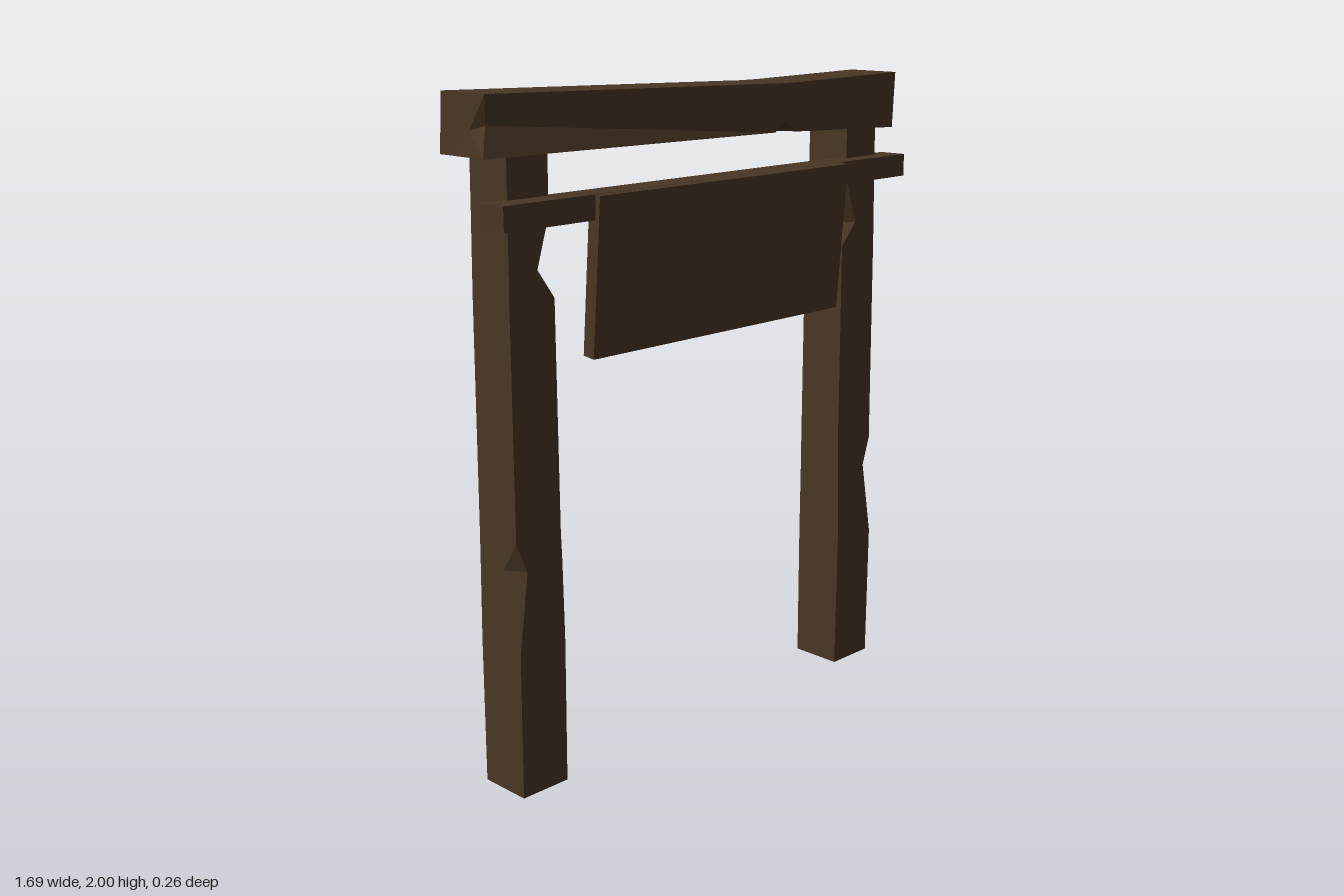
import * as THREE from 'three';

// Skins a list of rings (equal point counts) and caps both ends, flat shaded.
function loft(rings) {
  const tris = [];
  const v = (p) => new THREE.Vector3(...p);
  const loops = rings.map((r) => r.map(v));
  const n = loops[0].length;
  const add = (a, b, c) => {
    const area = b.clone().sub(a).cross(c.clone().sub(a)).length();
    if (area > 1e-7) tris.push([a, b, c]);
  };
  for (let i = 0; i < loops.length - 1; i++) {
    for (let j = 0; j < n; j++) {
      const k = (j + 1) % n;
      const [a, b, c, d] = [loops[i][j], loops[i][k], loops[i + 1][k], loops[i + 1][j]];
      add(a, b, c);
      add(a, c, d);
    }
  }
  const cap = (loop, flip) => {
    const mid = loop.reduce((s, p) => s.add(p), new THREE.Vector3()).divideScalar(n);
    loop.forEach((p, j) => {
      const q = loop[(j + 1) % n];
      if (flip) add(mid, q, p);
      else add(mid, p, q);
    });
  };
  cap(loops[0], true);
  cap(loops[loops.length - 1], false);
  // Turn the whole skin outward if its enclosed volume is negative
  const volume = tris.reduce((s, [a, b, c]) => s + a.dot(b.clone().cross(c)), 0);
  const pos = [];
  for (const [a, b, c] of tris) {
    for (const p of volume < 0 ? [a, c, b] : [a, b, c]) pos.push(p.x, p.y, p.z);
  }
  const g = new THREE.BufferGeometry();
  g.setAttribute('position', new THREE.Float32BufferAttribute(pos, 3));
  g.computeVertexNormals();
  return g;
}

// Tapered post with chips cut out of its two front edges
function postGeometry(side) {
  // y, inner x, outer x, back z, front z, outer chip [x, z], inner chip [x, z]
  const none = [0, 0];
  const rows = [
    [0, 0.605, 0.77, -0.12, 0.048, none, none],
    [0.44, 0.605, 0.77, -0.12, 0.052, none, none],
    [0.68, 0.605, 0.768, -0.118, 0.047, [0.035, 0.062], none],
    [0.77, 0.605, 0.767, -0.118, 0.043, none, none],
    [1.44, 0.607, 0.765, -0.116, 0.041, none, none],
    [1.51, 0.615, 0.764, -0.116, 0.041, none, [0.055, 0.06]],
    [1.67, 0.62, 0.762, -0.115, 0.04, none, none],
    [1.85, 0.62, 0.76, -0.115, 0.04, none, none],
  ];
  return loft(rows.map(([y, xi, xo, zb, zf, o, i]) => [
    [xi, zb], [xo, zb], [xo, zf - o[1]], [xo - o[0], zf], [xi + i[0], zf], [xi, zf - i[1]],
  ].map(([x, z]) => [side * x, y, z])));
}

// Sagging top beam with a chip under its front edge and a dented left end
function beamGeometry() {
  // x at top, x at bottom, top y, bottom y, chip height, chip depth, end dent
  const rows = [
    [-0.835, -0.845, 2.0, 1.835, 0, 0, 0.025],
    [0.27, 0.27, 1.972, 1.826, 0, 0, 0],
    [0.305, 0.305, 1.971, 1.825, 0.032, 0.05, 0],
    [0.38, 0.38, 1.971, 1.822, 0, 0, 0],
    [0.842, 0.832, 1.98, 1.805, 0, 0, 0],
  ];
  const zb = -0.13, zf = 0.052;
  return loft(rows.map(([xt, xb, yt, yb, ch, cd, dent]) => [
    [xt, yt, zb],
    [xt, yt, zf],
    [(xt + xb) / 2 + dent, (yt + yb) / 2, zf - dent],
    [xb, yb + ch, zf],
    [xb, yb, zf - cd],
    [xb, yb, zb],
  ]));
}

export function createModel() {
  const group = new THREE.Group();
  const darkWood = new THREE.MeshStandardMaterial({ color: 0x493624 });
  const add = (name, geometry) => {
    const mesh = new THREE.Mesh(geometry, darkWood);
    mesh.name = name;
    group.add(mesh);
  };

  add('leftPost', postGeometry(1));
  add('rightPost', postGeometry(-1));
  add('topBeam', beamGeometry());

  // Slightly skewed rail across the front of the posts
  const railEnd = (xBack, xFront, zb, zf) => [
    [xBack, 1.65, zb], [xFront, 1.65, zf], [xFront, 1.72, zf], [xBack, 1.72, zb],
  ];
  add('rail', loft([railEnd(-0.845, -0.835, 0.025, 0.115), railEnd(0.84, 0.845, 0.005, 0.095)]));

  // Sign board leaning out at the top
  const boardEnd = (x) => [
    [x, 1.265, 0.052], [x, 1.26, 0.094], [x, 1.717, 0.13], [x, 1.722, 0.088],
  ];
  add('signBoard', loft([boardEnd(-0.515), boardEnd(0.52)]));

  return group;
}
